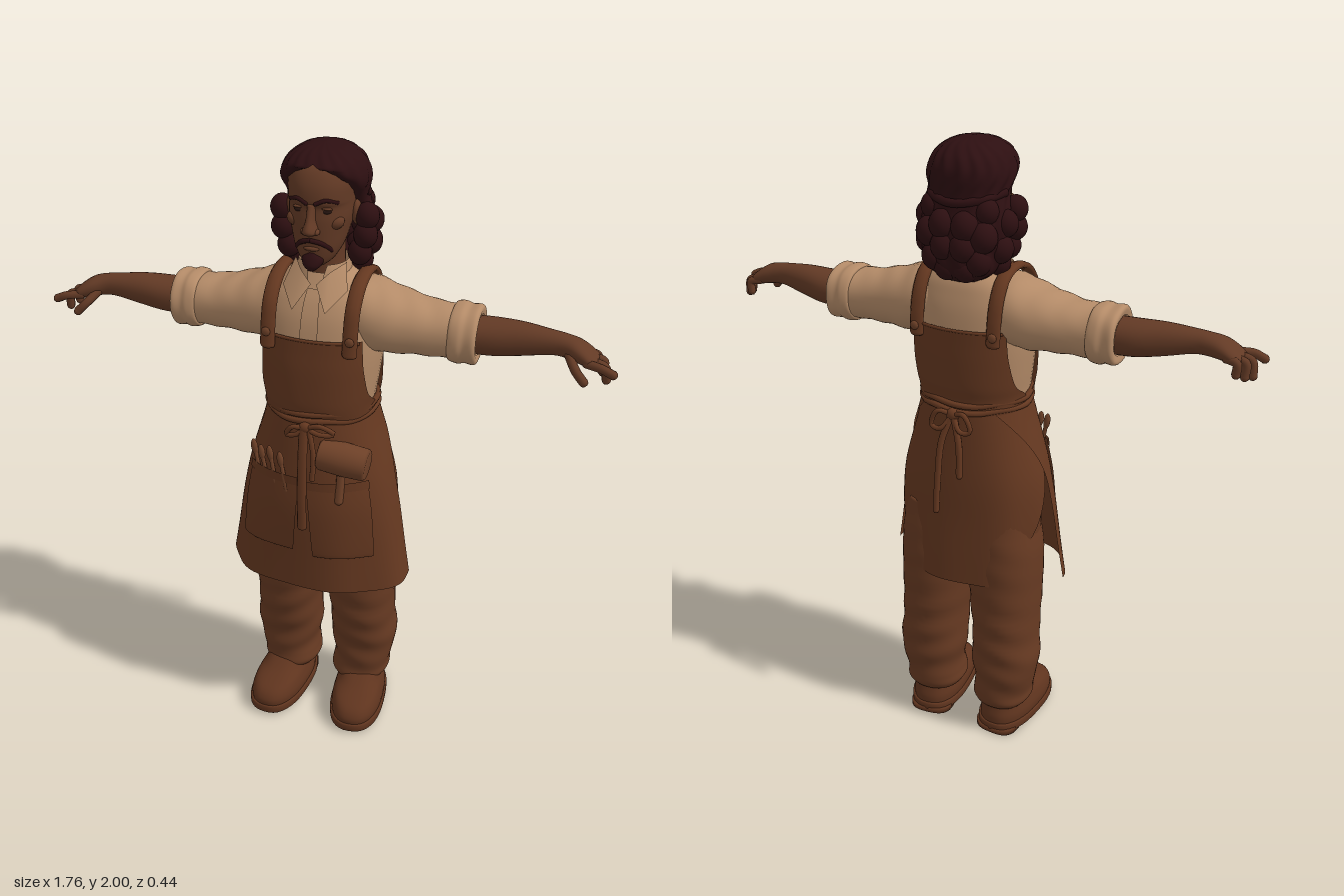
import * as THREE from 'three';
import { mergeVertices, mergeGeometries } from 'three/addons/utils/BufferGeometryUtils.js';

const mat = (name, color, side = THREE.DoubleSide) => Object.assign(new THREE.MeshStandardMaterial({ color, side }), { name });
const V = (p) => new THREE.Vector3(...p);

// Catmull-Rom resampling of section rows
function resample(rows, steps) {
  const out = [];
  for (let i = 0; i < rows.length - 1; i++) {
    const [a, b, c, d] = [rows[Math.max(i - 1, 0)], rows[i], rows[i + 1], rows[Math.min(i + 2, rows.length - 1)]];
    for (let s = 0; s < steps; s++) {
      const t = s / steps;
      out.push(b.map((v, k) => v + 0.5 * t * (c[k] - a[k] + t * (2 * a[k] - 5 * v + 4 * c[k] - d[k] + t * (3 * (v - c[k]) + d[k] - a[k])))));
    }
  }
  out.push(rows[rows.length - 1]);
  return out;
}

// Skin over rows [y, cx, cz, rx, rz, halfAngle]; angle 0 faces the front
function loft(rows, { n = 2.2, seg = 40, steps = 5, centre = 0, cap = false, fold = () => 0 } = {}) {
  let list = resample(rows.map((r) => (r.length < 6 ? [...r, Math.PI] : r)), steps);
  if (cap) {
    const close = (r) => [r[0], r[1], r[2], 0, 0, r[5]];
    list = [close(list[0]), ...list, close(list[list.length - 1])];
  }
  const pos = [], idx = [];
  const pw = (v) => Math.sign(v) * Math.pow(Math.abs(v), 2 / n);
  list.forEach(([y, cx, cz, rx, rz, a], i) => {
    for (let j = 0; j <= seg; j++) {
      const t = (j / seg) * 2 - 1, th = centre + t * Math.min(a, Math.PI), f = 1 + fold(y, th, t);
      pos.push(cx + Math.max(rx, 0) * f * pw(Math.sin(th)), y, cz + Math.max(rz, 0) * f * pw(Math.cos(th)));
      if (i && j) {
        const p = i * (seg + 1) + j, q = p - seg - 1;
        idx.push(q - 1, q, p - 1, q, p, p - 1);
      }
    }
  });
  let g = new THREE.BufferGeometry();
  g.setAttribute('position', new THREE.Float32BufferAttribute(pos, 3));
  g.setIndex(idx);
  g = mergeVertices(g, 1e-5);
  g.computeVertexNormals();
  return g;
}

// Limb along x from rows [x, y, z, ry, rz]
const limb = (rows, opts) => loft(rows.map(([x, y, z, ry, rz]) => [x, -y, z, ry, rz]), opts).rotateZ(-Math.PI / 2);

const blob = (x, y, z, rx, ry, rz, tilt = 0) =>
  new THREE.SphereGeometry(1, 18, 14).scale(rx, ry, rz).rotateZ(tilt).translate(x, y, z);

// Rounded cord through points
function cord(points, r, closed = false) {
  const tube = new THREE.TubeGeometry(new THREE.CatmullRomCurve3(points.map(V), closed), closed ? 72 : 24, r, 8, closed);
  if (closed) return tube;
  const ends = [points[0], points[points.length - 1]].map((p) => new THREE.SphereGeometry(r, 8, 6).translate(...p));
  return mergeGeometries([tube, ...ends]);
}

function mirrored(geo) {
  const g = geo.clone().scale(-1, 1, 1), ix = g.index.array;
  for (let i = 0; i < ix.length; i += 3) [ix[i], ix[i + 1]] = [ix[i + 1], ix[i]];
  return g;
}

export function createModel() {
  const model = new THREE.Group();
  model.name = 'apronedCraftsman';
  const skin = mat('skin', 0x633a25), hair = mat('hair', 0x2d0f11), shirt = mat('shirtLinen', 0xb48b68);
  const apron = mat('apronLeather', 0x653820), cloth = mat('trouserCloth', 0x673a22);
  const leather = mat('shoeLeather', 0x5f341e), wood = mat('toolWood', 0x6e4128), eyes = mat('eyeDark', 0x2a1712);
  const add = (name, geo, material) => {
    const m = new THREE.Mesh(geo, material);
    m.name = name;
    model.add(m);
  };
  const pair = (name, geo, material) => {
    add('left' + name, geo, material);
    add('right' + name, mirrored(geo), material);
  };

  // Shirt body, sleeves and rolled cuffs
  const chest = [[1.14, 0, 0, 0.16, 0.145], [1.22, 0, 0.005, 0.163, 0.15], [1.3, 0, 0, 0.174, 0.155], [1.4, 0, -0.005, 0.185, 0.155],
    [1.5, 0, -0.01, 0.185, 0.143], [1.56, 0, -0.015, 0.165, 0.125], [1.6, 0, -0.02, 0.13, 0.105], [1.64, 0, -0.015, 0.075, 0.078]];
  const grow = (rows, d) => rows.map(([y, x, z, rx, rz, ...a]) => [y, x, z, rx + d, rz + d, ...a]);
  add('shirtBody', loft(chest, { n: 2.35 }), shirt);
  add('shirtPlacket', loft(grow(chest.slice(3, 7), 0.006).map((r) => [...r, 0.1]), { n: 2.35, seg: 8 }), shirt);
  pair('Sleeve', limb([[0.08, 1.51, -0.02, 0.09, 0.11], [0.14, 1.505, -0.02, 0.105, 0.118], [0.2, 1.492, -0.02, 0.1, 0.115],
    [0.27, 1.484, -0.02, 0.088, 0.102], [0.34, 1.477, -0.02, 0.08, 0.092], [0.41, 1.475, -0.022, 0.078, 0.088]],
  { fold: (x, th) => 0.025 * Math.sin(x * 75 + 2 * Math.sin(th * 2)) * Math.sin(th) ** 2 }), shirt);
  pair('SleeveCuff', limb([[0.392, 1.474, -0.022, 0.072, 0.08], [0.395, 1.474, -0.022, 0.085, 0.093], [0.42, 1.473, -0.022, 0.09, 0.097],
    [0.44, 1.473, -0.022, 0.085, 0.092], [0.465, 1.473, -0.022, 0.087, 0.094], [0.475, 1.473, -0.022, 0.078, 0.084],
    [0.472, 1.474, -0.022, 0.058, 0.066]], { fold: (x, th) => 0.015 * Math.sin(th * 5 + x * 30) }), shirt);

  // Collar band and folded flaps
  add('collarBand', loft([[1.59, 0, -0.01, 0.095, 0.095, 2.95], [1.63, 0, -0.008, 0.083, 0.085, 2.9], [1.665, 0, -0.012, 0.074, 0.076, 2.75]],
    { centre: Math.PI }), shirt);
  const flap = new THREE.BufferGeometry();
  flap.setAttribute('position', new THREE.Float32BufferAttribute([0.008, 1.615, 0.095, 0.05, 1.55, 0.145, 0.098, 1.6, 0.08, 0.078, 1.665, 0.02, 0.045, 1.65, 0.075], 3));
  flap.setIndex([0, 1, 4, 1, 2, 4, 2, 3, 4]);
  flap.computeVertexNormals();
  pair('CollarFlap', flap, shirt);

  // Forearms, palms and fingers
  pair('ForearmAndPalm', limb([[0.44, 1.473, -0.02, 0.054, 0.064], [0.52, 1.475, -0.02, 0.054, 0.063], [0.6, 1.482, -0.014, 0.048, 0.05],
    [0.68, 1.487, -0.006, 0.036, 0.037], [0.72, 1.485, -0.003, 0.033, 0.037], [0.76, 1.477, 0.003, 0.031, 0.046],
    [0.795, 1.463, 0.006, 0.024, 0.05], [0.82, 1.453, 0.006, 0.012, 0.04]], { cap: true, seg: 28 }), skin);
  const fingers = {
    Index: [[0.79, 1.458, 0.043], [0.835, 1.455, 0.058], [0.867, 1.442, 0.06]],
    Middle: [[0.79, 1.458, 0.02], [0.84, 1.445, 0.022], [0.848, 1.403, 0.016]],
    Ring: [[0.79, 1.458, -0.008], [0.832, 1.448, -0.012], [0.833, 1.41, -0.018]],
    Little: [[0.78, 1.46, -0.03], [0.812, 1.452, -0.036], [0.812, 1.42, -0.036]],
    Thumb: [[0.735, 1.472, 0.025], [0.765, 1.44, 0.066], [0.79, 1.415, 0.076]],
  };
  for (const [name, pts] of Object.entries(fingers)) pair(name + 'Finger', cord(pts, 0.0135), skin);

  // Neck, head and face
  add('neck', loft([[1.56, 0, -0.015, 0.075, 0.075], [1.64, 0, -0.01, 0.062, 0.066], [1.74, 0, -0.01, 0.062, 0.068]]), skin);
  add('head', loft([[1.672, 0, 0.06, 0.028, 0.035], [1.69, 0, 0.047, 0.05, 0.06], [1.725, 0, 0.03, 0.07, 0.083], [1.77, 0, 0.015, 0.083, 0.1],
    [1.81, 0, 0.008, 0.092, 0.106], [1.845, 0, 0.004, 0.094, 0.106], [1.865, 0, 0.002, 0.095, 0.115], [1.91, 0, -0.005, 0.097, 0.115],
    [1.95, 0, -0.015, 0.085, 0.1], [1.975, 0, -0.02, 0.05, 0.06]], { cap: true }), skin);
  add('nose', loft([[1.772, 0, 0.11, 0.014, 0.018], [1.78, 0, 0.112, 0.023, 0.036], [1.792, 0, 0.113, 0.021, 0.043], [1.82, 0, 0.108, 0.013, 0.032],
    [1.86, 0, 0.103, 0.012, 0.016]], { cap: true, seg: 20 }), skin);
  pair('Nostril', blob(0.018, 1.784, 0.122, 0.011, 0.009, 0.014), skin);
  pair('Cheekbone', blob(0.058, 1.8, 0.072, 0.028, 0.02, 0.024, 0.4), skin);
  pair('Ear', blob(0.098, 1.81, -0.005, 0.014, 0.036, 0.022), skin);
  pair('Eye', blob(0.038, 1.838, 0.096, 0.017, 0.008, 0.01), eyes);
  pair('Eyelid', blob(0.038, 1.847, 0.098, 0.02, 0.005, 0.01, -0.1), skin);
  pair('Eyebrow', cord([[0.014, 1.862, 0.116], [0.04, 1.872, 0.109], [0.068, 1.862, 0.083]], 0.006), hair);
  add('lips', blob(0, 1.73, 0.108, 0.024, 0.008, 0.012), skin);
  pair('Moustache', cord([[0.003, 1.757, 0.121], [0.025, 1.75, 0.113], [0.045, 1.733, 0.094], [0.05, 1.722, 0.083]], 0.007), hair);
  add('goatee', loft([[1.665, 0, 0.108, 0.01, 0.012], [1.68, 0, 0.1, 0.027, 0.028], [1.7, 0, 0.093, 0.032, 0.03], [1.718, 0, 0.095, 0.014, 0.018]],
    { cap: true, seg: 20 }), hair);

  // Swept-back wavy hair, half tied, with curls
  const back = (o) => Math.PI - o;
  add('hairMass', loft([[1.6, 0, -0.085, 0.06, 0.05, back(1.8)], [1.63, 0, -0.07, 0.115, 0.095, back(1.8)], [1.68, 0, -0.058, 0.132, 0.12, back(1.7)],
    [1.74, 0, -0.05, 0.14, 0.125, back(1.6)], [1.8, 0, -0.04, 0.135, 0.122, back(1.5)], [1.85, 0, -0.03, 0.122, 0.128, back(1.35)],
    [1.9, 0, -0.025, 0.128, 0.137, back(0.95)], [1.935, 0, -0.022, 0.12, 0.135, back(0.5)], [1.965, 0, -0.022, 0.1, 0.115, Math.PI],
    [1.99, 0, -0.025, 0.06, 0.07, Math.PI], [2, 0, -0.025, 0, 0, Math.PI]], {
    centre: Math.PI, seg: 110,
    fold: (y, th, t) => 0.022 * Math.sin(th * 17 + 5 * Math.sin(y * 22)) - (y < 1.95 ? 0.2 * Math.abs(t) ** 14 : 0),
  }), hair);
  for (const [x, y, z, r] of [[0.128, 1.8, -0.01, 0.036], [0.125, 1.745, -0.005, 0.036], [0.108, 1.69, -0.01, 0.036], [0.1, 1.65, -0.06, 0.035],
    [0.125, 1.77, -0.07, 0.037], [0.115, 1.7, -0.085, 0.04], [0.085, 1.81, -0.115, 0.036], [0.085, 1.74, -0.135, 0.042],
    [0.07, 1.67, -0.135, 0.04], [0.035, 1.77, -0.15, 0.042], [0.03, 1.71, -0.152, 0.042], [0.03, 1.645, -0.135, 0.04]])
    pair('HairCurl', blob(x, y, z, r, r * 1.1, r), hair);
  add('hairTie', cord([[0.115, 1.855, -0.06], [0.08, 1.845, -0.125], [0, 1.835, -0.16], [-0.08, 1.845, -0.125], [-0.115, 1.855, -0.06]], 0.013), hair);

  // Trousers
  add('trouserSeat', loft([[0.68, 0, -0.03, 0.215, 0.125], [0.78, 0, -0.03, 0.232, 0.138], [0.95, 0, -0.022, 0.222, 0.142],
    [1.1, 0, -0.01, 0.185, 0.14], [1.2, 0, 0, 0.155, 0.14]], { cap: true }), cloth);
  pair('TrouserLeg', loft([[0.105, 0.125, -0.052, 0.088, 0.098], [0.125, 0.127, -0.052, 0.1, 0.106], [0.155, 0.13, -0.052, 0.098, 0.106],
    [0.2, 0.135, -0.055, 0.1, 0.108], [0.28, 0.136, -0.055, 0.113, 0.114], [0.38, 0.132, -0.045, 0.108, 0.124],
    [0.55, 0.125, -0.035, 0.116, 0.133], [0.7, 0.122, -0.032, 0.117, 0.133], [0.85, 0.115, -0.03, 0.1, 0.12]], {
    cap: true, steps: 8,
    fold: (y, th) => (y < 0.5 ? 0.035 : 0.012) * Math.sin(y * 62 + 2.2 * Math.sin(th + 0.6)) * (0.6 + 0.4 * Math.cos(th * 2)),
  }), cloth);

  // Shoes, turned slightly outward
  const place = (g) => g.rotateY(0.1).translate(0.138, 0, 0);
  pair('ShoeUpper', place(loft([[0.03, 0, 0.025, 0.087, 0.172], [0.06, 0, 0.025, 0.088, 0.172], [0.09, 0, 0.015, 0.08, 0.155],
    [0.115, 0, -0.02, 0.07, 0.115], [0.15, 0, -0.05, 0.066, 0.085]], { n: 2.4, cap: true })), leather);
  pair('ShoeSole', place(loft([[0.008, 0, 0.025, 0.088, 0.174], [0.012, 0, 0.025, 0.093, 0.179], [0.034, 0, 0.025, 0.093, 0.179],
    [0.038, 0, 0.025, 0.088, 0.174]], { n: 2.5, cap: true, steps: 2 })), leather);
  pair('ShoeHeel', place(loft([[0, 0, -0.09, 0.074, 0.064], [0.02, 0, -0.09, 0.074, 0.064]], { n: 2.8, cap: true, steps: 1 })), leather);
  pair('ShoeStrap', place(cord([[-0.07, 0.08, 0.02], [-0.04, 0.115, 0.045], [0, 0.122, 0.055], [0.04, 0.115, 0.045], [0.07, 0.08, 0.02]], 0.011)), leather);

  // Apron bib, front and back
  const bib = [[1.19, 0, 0, 0.172, 0.158, 1.58], [1.235, 0, 0.003, 0.176, 0.163, 1.45], [1.28, 0, 0, 0.184, 0.167, 1.12], [1.36, 0, -0.003, 0.194, 0.167, 0.92],
    [1.42, 0, -0.006, 0.197, 0.164, 0.86], [1.462, 0, -0.008, 0.197, 0.162, 0.84]];
  const bibTop = (z) => [0.145, 0.07, 0, -0.07, -0.145].map((x) => [x, 1.46, z * (1 - 9 * x * x)]);
  ['front', 'back'].forEach((name, i) => {
    add(name + 'Bib', loft(bib, { n: 2.35, centre: i * Math.PI }), apron);
    add(name + 'BibHem', cord(bibTop(i ? -0.17 : 0.153), 0.005), apron);
  });
  const strapPath = [[0, 1.43, 0.148], [0, 1.5, 0.137], [0, 1.56, 0.116], [0, 1.61, 0.062], [0, 1.628, -0.015], [0, 1.61, -0.09],
    [0, 1.56, -0.13], [0, 1.5, -0.148], [0, 1.43, -0.156]];
  pair('ShoulderStrap', cord(strapPath, 0.0115).scale(2, 1, 1).translate(0.126, 0, 0), apron);
  pair('StrapButton', blob(0.128, 1.475, 0.155, 0.014, 0.014, 0.007), wood);
  pair('BackStrapButton', blob(0.128, 1.455, -0.166, 0.014, 0.014, 0.007), wood);

  // Apron skirt
  const drape = (y, th) => 0.02 * Math.max(0, (1.15 - y) / 0.55) * Math.sin(th * 7);
  const skirt = [[0.595, 0, 0, 0.305, 0.198, 1.57], [0.7, 0, 0, 0.287, 0.196, 1.57], [0.85, 0, 0, 0.263, 0.194, 1.57], [0.97, 0, 0, 0.238, 0.188, 1.6],
    [1.06, 0, 0, 0.212, 0.18, 1.78], [1.14, 0, 0, 0.187, 0.171, 2.1], [1.21, 0, 0, 0.168, 0.16, 2.5]];
  add('apronSkirtFront', loft(skirt, { fold: drape }), apron);
  add('apronSkirtBack', loft([[0.6, 0, -0.01, 0.235, 0.175, 0.6], [0.7, 0, -0.01, 0.24, 0.172, 1.0], [0.82, 0, -0.01, 0.245, 0.167, 1.4],
    [0.95, 0, -0.005, 0.235, 0.168, 1.6], [1.1, 0, 0, 0.195, 0.163, 1.6], [1.21, 0, 0, 0.166, 0.157, 1.6]],
  { centre: Math.PI, fold: drape }), apron);

  // Skirt pockets
  const pocket = (y, rx, rz, a) => [y, 0, 0, rx, rz, a];
  [-0.47, 0.45].forEach((centre, i) => {
    const dy = i * -0.01, side = i ? 'left' : 'right';
    const opts = { centre, seg: 16, fold: drape };
    add(side + 'Pocket', loft([pocket(0.745 + dy, 0.285, 0.2, 0.36), pocket(0.76 + dy, 0.288, 0.208, 0.37), pocket(0.9, 0.266, 0.21, 0.4),
      pocket(1.015 + dy, 0.236, 0.2, 0.43)], opts), apron);
    add(side + 'PocketHem', loft([pocket(0.99 + dy, 0.245, 0.205, 0.44), pocket(1.02 + dy, 0.24, 0.205, 0.44)], opts), apron);
  });

  // Waist ties with bow and hanging ends
  const ring = (y, rx, rz) => Array.from({ length: 16 }, (_, i) => [rx * Math.sin(i * Math.PI / 8), y + 0.004 * Math.sin(i * 2), rz * Math.cos(i * Math.PI / 8)]);
  add('upperWaistTie', cord(ring(1.222, 0.171, 0.163), 0.01, true), apron);
  add('lowerWaistTie', cord(ring(1.2, 0.172, 0.165), 0.01, true), apron);
  add('frontKnot', blob(0, 1.185, 0.178, 0.022, 0.018, 0.015), apron);
  add('frontBowLeft', cord([[0, 1.185, 0.18], [0.05, 1.2, 0.185], [0.09, 1.175, 0.175], [0.05, 1.172, 0.185], [0, 1.185, 0.18]], 0.008), apron);
  add('frontBowRight', cord([[0, 1.185, 0.18], [-0.04, 1.185, 0.185], [-0.06, 1.155, 0.18], [-0.03, 1.16, 0.185], [0, 1.185, 0.18]], 0.008), apron);
  add('frontTieEnd', cord([[0, 1.185, 0], [0, 1.08, 0.016], [0, 0.95, 0.026], [0, 0.84, 0.027]], 0.009).scale(1.7, 1, 1).translate(-0.004, 0, 0.182), apron);
  add('frontTieShortEnd', cord([[0.012, 1.185, 0.18], [0.03, 1.1, 0.194], [0.028, 1.02, 0.2]], 0.009), apron);
  add('backKnot', blob(0, 1.19, -0.17, 0.022, 0.02, 0.016), apron);
  pair('BackBow', cord([[0, 1.19, -0.17], [0.045, 1.2, -0.185], [0.065, 1.15, -0.185], [0.035, 1.145, -0.19], [0, 1.19, -0.17]], 0.008), apron);
  add('backTieLongEnd', cord([[0.005, 1.185, -0.172], [0.03, 1.1, -0.19], [0.038, 0.97, -0.203], [0.04, 0.87, -0.212]], 0.011), apron);
  add('backTieShortEnd', cord([[-0.005, 1.185, -0.172], [-0.03, 1.1, -0.19], [-0.035, 1.0, -0.198]], 0.011), apron);

  // Carving tools in the right pocket
  [[-0.175, 1.085, 0.148], [-0.145, 1.08, 0.166], [-0.112, 1.09, 0.18], [-0.075, 1.08, 0.19]].forEach(([x, y, z], i) => {
    add('carvingTool' + (i + 1), cord([[x + 0.018, 0.96, z + 0.005], [x, y - 0.03, z]], 0.007), wood);
    add('toolHandle' + (i + 1), blob(x - 0.003, y - 0.015, z, 0.011, 0.028, 0.009, 0.12), wood);
  });

  // Mallet in the left pocket
  const headProfile = [[0, -0.077], [0.044, -0.077], [0.05, -0.07], [0.053, 0], [0.05, 0.07], [0.044, 0.077], [0, 0.077]];
  add('malletHead', new THREE.LatheGeometry(headProfile.map((p) => new THREE.Vector2(...p)), 28).rotateZ(Math.PI / 2 - 0.1).translate(0.118, 1.088, 0.165), wood);
  add('malletHandle', cord([[0.115, 1.08, 0.17], [0.11, 0.95, 0.188]], 0.014), wood);
  return model;
}
